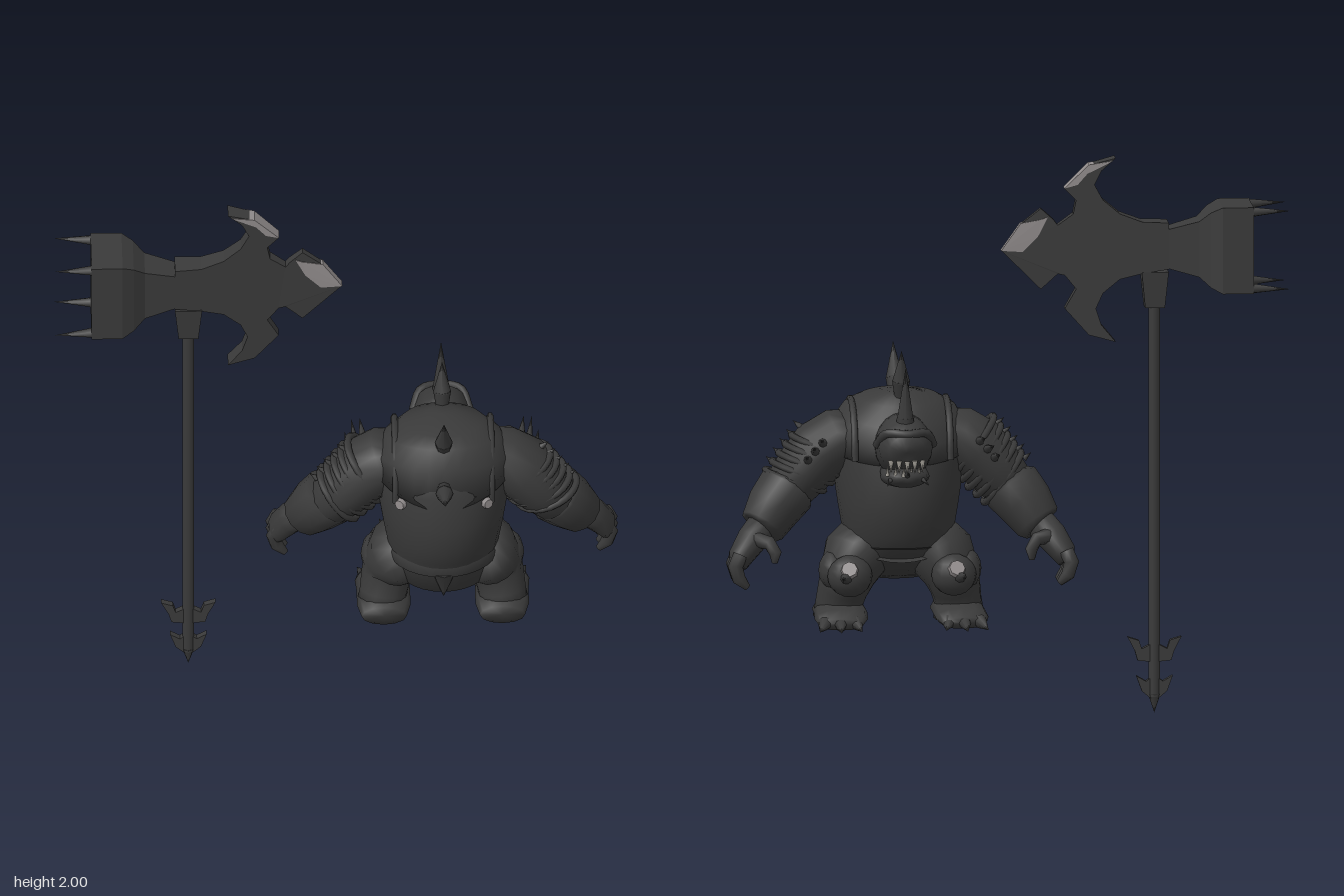
import * as THREE from 'three';

const V = (x, y, z) => new THREE.Vector3(x, y, z);
const mat = (name, color) => Object.assign(new THREE.MeshStandardMaterial({ color }), { name });

export function createModel() {
  const dark = mat('dark hide', 0x3a3a3a);
  const steel = mat('worn steel', 0x908b8b);
  const bone = mat('bone', 0xa8a49c);

  const add = (parent, name, geo, m = dark) => {
    const mesh = new THREE.Mesh(geo, m);
    mesh.name = name;
    parent.add(mesh);
    return mesh;
  };

  // Closed skin over elliptical rings [x, y, z, ra, rb] following a path
  const loft = (rings, n = 20, flat = false, turn = 0) => {
    const c = rings.map(r => V(r[0], r[1], r[2]));
    const whole = c[c.length - 1].clone().sub(c[0]).normalize();
    const ref = Math.abs(whole.z) > 0.8 ? V(0, 1, 0) : V(0, 0, 1);
    const pos = [], idx = [];
    rings.forEach((r, i) => {
      const t = c[Math.min(i + 1, c.length - 1)].clone().sub(c[Math.max(i - 1, 0)]).normalize();
      const u = t.clone().cross(ref).normalize(), v = u.clone().cross(t);
      for (let k = 0; k < n; k++) {
        const a = turn + k / n * Math.PI * 2;
        const p = c[i].clone().addScaledVector(u, Math.cos(a) * r[3]).addScaledVector(v, Math.sin(a) * r[4]);
        pos.push(p.x, p.y, p.z);
        const A = i * n + k, B = i * n + (k + 1) % n;
        if (i < rings.length - 1) idx.push(A, A + n, B, B, A + n, B + n);
      }
    });
    const last = (rings.length - 1) * n, s = pos.length / 3;
    pos.push(...c[0].toArray(), ...c[c.length - 1].toArray());
    for (let k = 0; k < n; k++) {
      const j = (k + 1) % n;
      idx.push(s, k, j, s + 1, last + j, last + k);
    }
    let g = new THREE.BufferGeometry();
    g.setAttribute('position', new THREE.Float32BufferAttribute(pos, 3));
    g.setIndex(idx);
    if (flat) g = g.toNonIndexed();
    g.computeVertexNormals();
    return g;
  };

  // Cone, or disc when rTip is given, pointing from a to b
  const spike = (parent, name, a, b, r, m = dark, rTip = 0, n = 8) => {
    const d = b.clone().sub(a);
    const mesh = add(parent, name, new THREE.CylinderGeometry(rTip, r, d.length(), n), m);
    mesh.position.copy(a).addScaledVector(d, 0.5);
    mesh.quaternion.setFromUnitVectors(V(0, 1, 0), d.normalize());
    return mesh;
  };

  const model = new THREE.Group();
  model.name = 'brute with war hammer';

  // ---------- Creature, facing -z ----------
  const brute = new THREE.Group();
  brute.name = 'brute';
  brute.position.x = 0.375;
  model.add(brute);

  const section = ([y, w, front, back], k = 1) => [0, y, (front + back) / 2, w * k, (back - front) / 2 * k];
  const torso = [[0.49, 0.1, -0.05, 0.1], [0.53, 0.17, -0.1, 0.18], [0.6, 0.185, -0.13, 0.215], [0.66, 0.2, -0.17, 0.24],
    [0.75, 0.215, -0.2, 0.272], [0.85, 0.23, -0.2, 0.28], [0.95, 0.24, -0.19, 0.265], [1.02, 0.235, -0.19, 0.235],
    [1.08, 0.2, -0.17, 0.18], [1.125, 0.14, -0.13, 0.12], [1.15, 0.05, -0.06, 0.05]];
  add(brute, 'torso', loft(torso.map(r => section(r)), 28));
  add(brute, 'belt', loft([[0.6, 0.185, -0.13, 0.215], [0.61, 0.2, -0.145, 0.23], [0.63, 0.2, -0.15, 0.235],
    [0.64, 0.19, -0.15, 0.225]].map(r => section(r)), 28));
  spike(brute, 'rearFlap', V(0, 0.62, 0.19), V(0, 0.49, 0.18), 0.05);

  // Back shell, its lower edge dipping to a point in the middle
  const shellGeo = loft(torso.slice(6).map(r => section(r, 1.035)), 28);
  const sp = shellGeo.attributes.position;
  for (let i = 0; i < 28; i++) if (sp.getZ(i) > 0.03) sp.setY(i, 0.97 - 0.06 * (1 - Math.abs(sp.getX(i)) / 0.25));
  shellGeo.computeVertexNormals();
  add(brute, 'backShell', shellGeo).position.y = 0.01;

  // Spines along the back, each on a collar
  for (const [a, b] of [[V(0, 1.13, -0.07), V(0, 1.315, -0.105)], [V(0, 1.09, 0.14), V(0, 1.295, 0.24)],
    [V(0, 1.01, 0.22), V(0, 1.07, 0.425)]]) {
    spike(brute, 'spineCollar', a, a.clone().lerp(b, 0.4), 0.02, dark, 0.032);
    spike(brute, 'backSpine', a.clone().lerp(b, 0.38), b, 0.032);
  }

  // Head, jaw, horn and chin tusks
  add(brute, 'head', loft([[0, 0.98, -0.12, 0.1, 0.12], [0, 0.985, -0.2, 0.102, 0.115], [0, 0.995, -0.28, 0.095, 0.09],
    [0, 0.99, -0.325, 0.065, 0.055], [0, 0.985, -0.335, 0.03, 0.03]]));
  add(brute, 'jaw', loft([[0, 0.9, -0.14, 0.08, 0.05], [0, 0.885, -0.24, 0.088, 0.04], [0, 0.89, -0.3, 0.075, 0.035],
    [0, 0.895, -0.335, 0.04, 0.02]]));
  add(brute, 'browRidge', new THREE.TubeGeometry(new THREE.CatmullRomCurve3(
    [V(-0.1, 1.0, -0.24), V(-0.07, 1.05, -0.3), V(0, 1.05, -0.325), V(0.07, 1.05, -0.3), V(0.1, 1.0, -0.24)]), 16, 0.016, 8));
  spike(brute, 'hornCollar', V(0, 1.04, -0.25), V(0, 1.1, -0.255), 0.035, dark, 0.03);
  spike(brute, 'noseHorn', V(0, 1.09, -0.255), V(0, 1.28, -0.27), 0.03);
  spike(brute, 'chinTusk', V(0, 0.9, -0.31), V(0, 0.925, -0.42), 0.014);
  for (let i = -2; i <= 2; i++) {
    const x = i * 0.028, z = -0.335 + Math.abs(i) * 0.013;
    spike(brute, 'upperTooth', V(x, 0.955, z), V(x, 0.91, z - 0.005), 0.011, bone, 0, 5);
    spike(brute, 'lowerTooth', V(x + 0.012, 0.9, z), V(x + 0.012, 0.94, z - 0.005), 0.008, bone, 0, 5);
  }

  for (const s of [1, -1]) {
    const P = (x, y, z) => V(s * x, y, z);
    const limb = (parent, name, rings, n = 16) => add(parent, name, loft(rings.map(([x, ...r]) => [s * x, ...r]), n));
    const side = s > 0 ? 'left' : 'right';

    // Shell ridge, back stud and cheek tusk
    const ridge = [];
    for (let a = -0.1; a <= Math.PI + 0.1; a += 0.3) ridge.push(P(0.17, 0.94 + 0.185 * Math.sin(a), 0.02 + 0.18 * Math.cos(a)));
    add(brute, 'shellRidge', new THREE.TubeGeometry(new THREE.CatmullRomCurve3(ridge), 24, 0.012, 6));
    spike(brute, 'backStud', P(0.148, 0.93, 0.213), P(0.159, 0.932, 0.23), 0.022, steel, 0.018);
    spike(brute, 'cheekTusk', P(0.05, 0.89, -0.28), P(0.075, 0.875, -0.39), 0.012);

    // Arm with ribbed plates
    const arm = new THREE.Group();
    arm.name = side + 'Arm';
    brute.add(arm);
    limb(arm, 'upperArm', [[0.15, 1.0, 0.02, 0.09, 0.11], [0.21, 0.985, 0.02, 0.11, 0.125], [0.28, 0.94, 0.02, 0.115, 0.13],
      [0.34, 0.87, 0.02, 0.105, 0.12], [0.4, 0.8, 0.01, 0.09, 0.1], [0.43, 0.77, 0, 0.06, 0.06]]);
    const axis = P(0.65, -0.76, -0.03).normalize();
    for (let i = 0; i < 5; i++) {
      const t = i / 4, c = P(0.265 + 0.105 * t, 0.955 - 0.12 * t, 0.02), r = 0.112 - 0.012 * t;
      const band = add(arm, 'armBand', new THREE.TorusGeometry(r, 0.013, 6, 24));
      band.scale.y = 1.1;
      band.rotation.order = 'YXZ';
      band.lookAt(c.clone().add(axis).sub(c));
      band.position.copy(c);
      const out = P(0.76, 0.65, 0);
      spike(arm, 'bandSpike', c.clone().addScaledVector(out, r), c.clone().addScaledVector(out, r + 0.035), 0.012);
      if (i < 3) {
        const fwd = P(0.12, 0.25, -0.95);
        spike(arm, 'frontSpike', c.clone().addScaledVector(fwd, r), c.clone().addScaledVector(fwd, 0.22 + i % 2 * 0.03), 0.018);
      }
    }
    limb(arm, 'forearmGuard', [[0.385, 0.825, 0.005, 0.085, 0.095], [0.4, 0.805, 0, 0.108, 0.11], [0.45, 0.745, -0.025, 0.1, 0.1],
      [0.49, 0.685, -0.055, 0.085, 0.08], [0.5, 0.675, -0.06, 0.07, 0.065]], 12);
    limb(arm, 'hand', [[0.49, 0.69, -0.055, 0.055, 0.05], [0.535, 0.64, -0.1, 0.055, 0.06], [0.575, 0.585, -0.125, 0.045, 0.065],
      [0.585, 0.55, -0.135, 0.03, 0.05]], 12);
    for (const z of [-0.09, -0.135, -0.175])
      limb(arm, 'finger', [[0.58, 0.6, z, 0.026, 0.022], [0.598, 0.56, z - 0.01, 0.027, 0.023], [0.585, 0.515, z - 0.012, 0.024, 0.021],
        [0.555, 0.485, z - 0.01, 0.012, 0.012]], 8);
    limb(arm, 'thumb', [[0.53, 0.65, -0.13, 0.028, 0.025], [0.475, 0.64, -0.165, 0.025, 0.024], [0.455, 0.605, -0.18, 0.022, 0.02],
      [0.458, 0.57, -0.18, 0.01, 0.01]], 8);

    // Leg with hip plate, spiked knee and clawed foot
    const leg = new THREE.Group();
    leg.name = side + 'Leg';
    brute.add(leg);
    limb(leg, 'thighAndCalf', [[0.11, 0.63, 0.03, 0.1, 0.12], [0.15, 0.57, 0.01, 0.12, 0.14], [0.185, 0.5, -0.02, 0.1, 0.12],
      [0.2, 0.45, -0.01, 0.09, 0.09], [0.21, 0.4, 0.015, 0.085, 0.085], [0.215, 0.34, 0.02, 0.09, 0.09]]);
    const hip = add(leg, 'hipPlate', new THREE.SphereGeometry(1, 10, 8));
    hip.scale.set(0.05, 0.07, 0.09);
    hip.position.copy(P(0.24, 0.52, -0.04));
    const knee = add(leg, 'kneeGuard', new THREE.SphereGeometry(1, 14, 10));
    knee.scale.set(0.08, 0.075, 0.065);
    knee.position.copy(P(0.185, 0.51, -0.12));
    spike(leg, 'kneeStud', P(0.19, 0.535, -0.165), P(0.192, 0.545, -0.183), 0.034, steel, 0.028);
    spike(leg, 'kneeSpike', P(0.2, 0.51, -0.165), P(0.22, 0.52, -0.245), 0.025);
    limb(leg, 'foot', [[0.21, 0.36, 0.12, 0.08, 0.04], [0.21, 0.365, 0.06, 0.095, 0.045], [0.21, 0.365, -0.03, 0.095, 0.045],
      [0.215, 0.355, -0.11, 0.095, 0.035], [0.22, 0.342, -0.16, 0.08, 0.022]], 12);
    for (const k of [-1, 0, 1])
      spike(leg, 'toeClaw', P(0.22 + k * 0.055, 0.345, -0.14), P(0.225 + k * 0.075, 0.325, k ? -0.22 : -0.245), 0.026);
  }

  // ---------- War hammer ----------
  const weapon = new THREE.Group();
  weapon.name = 'warHammer';
  weapon.position.z = -0.1;
  model.add(weapon);
  const X = -0.525;

  // Flat plate whose thickness follows a rule in x
  const plate = (pts, half) => {
    const shape = new THREE.Shape(pts.map(p => new THREE.Vector2(p[0], p[1])));
    const g = new THREE.ExtrudeGeometry(shape, { depth: 1, bevelEnabled: false });
    const p = g.attributes.position;
    for (let i = 0; i < p.count; i++) p.setZ(i, (p.getZ(i) > 0.5 ? 1 : -1) * half(p.getX(i)));
    g.computeVertexNormals();
    return g;
  };
  const taper = x => Math.max(0.012, 0.016 - (x + 0.15) * 0.07);

  add(weapon, 'shaft', new THREE.CylinderGeometry(0.021, 0.021, 1.42, 12)).position.set(X, 0.77, 0);
  spike(weapon, 'buttPoint', V(X, 0.07, 0), V(X, 0, 0), 0.023);
  for (const s of [1, -1]) {
    for (const pts of [[[0.01, 0.05], [0.045, 0.08], [0.065, 0.135], [0.03, 0.115], [0.01, 0.13]],
      [[0.01, 0.185], [0.06, 0.19], [0.07, 0.225], [0.096, 0.275], [0.055, 0.262], [0.045, 0.232], [0.01, 0.25]]])
      add(weapon, 'buttBarb', plate(pts.map(([x, y]) => [X + s * x, y]), () => 0.012));
  }

  add(weapon, 'socket', loft([[X, 1.46, 0, 0.035, 0.035], [X, 1.59, 0, 0.048, 0.045]].map(([x, y, z, a, b]) =>
    [x, y, z, a * Math.SQRT2, b * Math.SQRT2]), 4, true, Math.PI / 4));
  const block = [[-0.87, 0.155, 0.108], [-0.76, 0.155, 0.106], [-0.72, 0.135, 0.088], [-0.68, 0.1, 0.062], [-0.57, 0.07, 0.045], [-0.5, 0.07, 0.04]];
  add(weapon, 'hammerBlock', loft(block.map(([x, h, d]) => [x, 1.673, 0, h * Math.SQRT2, d * Math.SQRT2]), 4, true, Math.PI / 4));
  for (const y of [1.81, 1.535]) for (const z of [-0.09, 0.09])
    spike(weapon, 'hammerSpike', V(-0.865, y, z), V(-1, y + (y > 1.7 ? 0.003 : -0.003), z * 1.1), 0.018);

  add(weapon, 'axeHead', plate([[-0.573, 1.767], [-0.48, 1.77], [-0.4, 1.8], [-0.34, 1.85], [-0.31, 1.905], [-0.335, 1.955],
    [-0.385, 2], [-0.29, 1.975], [-0.205, 1.89], [-0.245, 1.85], [-0.235, 1.8], [-0.18, 1.76], [-0.165, 1.78], [-0.12, 1.82],
    [-0.05, 1.765], [0.02, 1.67], [-0.12, 1.53], [-0.18, 1.585], [-0.205, 1.58], [-0.245, 1.53], [-0.205, 1.46], [-0.29, 1.365],
    [-0.385, 1.34], [-0.335, 1.4], [-0.315, 1.46], [-0.34, 1.515], [-0.4, 1.565], [-0.48, 1.585], [-0.573, 1.6]], taper));

  // Bare steel on the cutting edges
  const edge = x => taper(x) + 0.003;
  add(weapon, 'upperEdge', plate([[-0.375, 1.99], [-0.29, 1.977], [-0.203, 1.892], [-0.25, 1.905], [-0.285, 1.945]], edge), steel);
  add(weapon, 'pointEdge', plate([[-0.145, 1.79], [-0.12, 1.78], [-0.048, 1.767], [0.021, 1.67], [-0.055, 1.665], [-0.11, 1.72]], edge), steel);

  return model;
}
